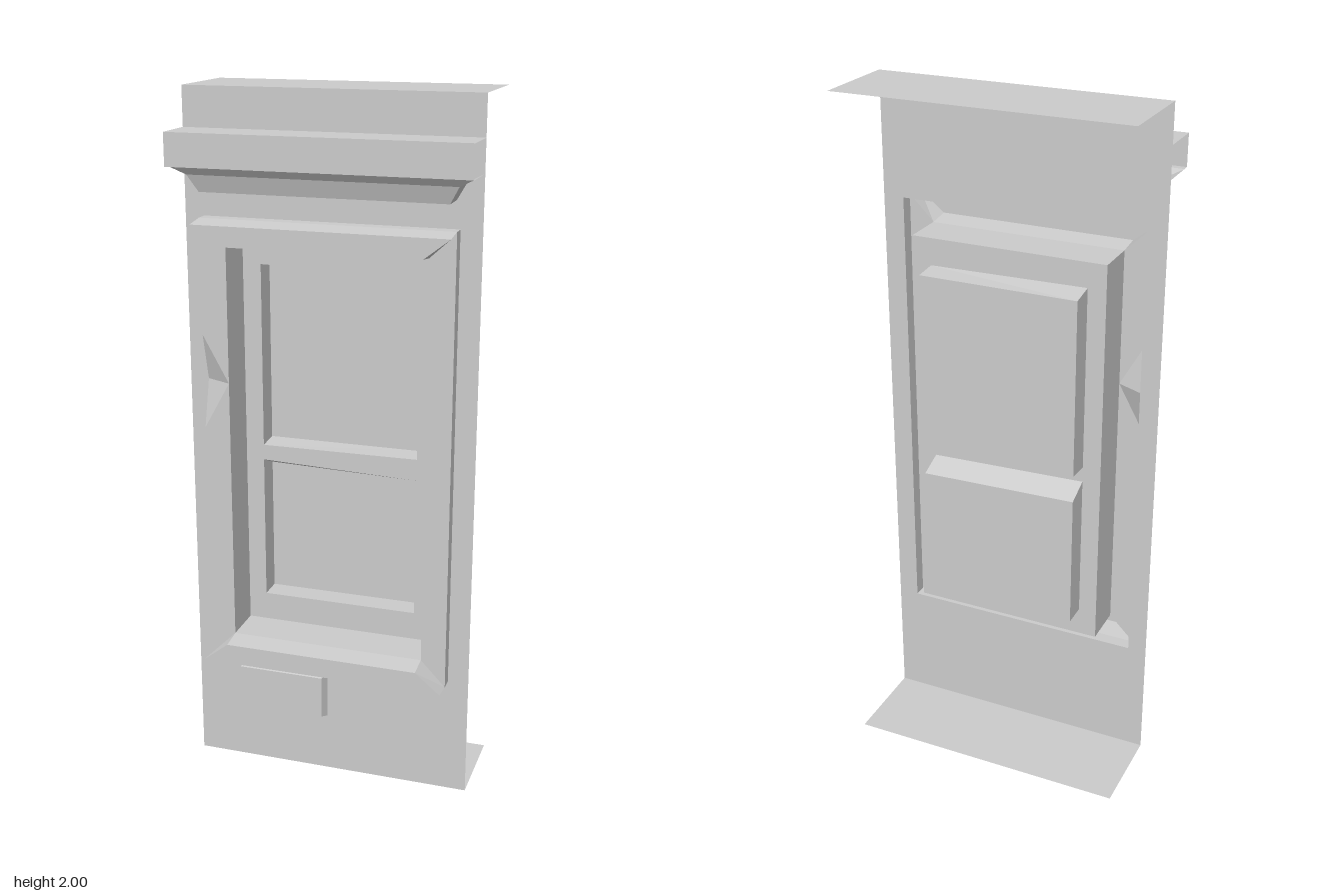
import * as THREE from 'three';

const material = new THREE.MeshStandardMaterial({ color: 0xcccccc, flatShading: true, side: THREE.DoubleSide });
const WALL = 0.067, FRAME = 0.105, RAIL = 0.17, BACK = -0.02, PANE = -0.09;
const W = 0.415;

function mesh(name, geometry) {
  const m = new THREE.Mesh(geometry, material);
  m.name = name;
  return m;
}

// Skin between successive rings of points, optionally capping the last ring
function loft(name, rings, { closed = true, cap = false } = {}) {
  const n = rings[0].length, index = [];
  for (let r = 0; r < rings.length - 1; r++) {
    for (let i = 0; i < (closed ? n : n - 1); i++) {
      const j = (i + 1) % n, a = r * n + i, b = r * n + j;
      index.push(a, b, b + n, a, b + n, a + n);
    }
  }
  const last = (rings.length - 1) * n;
  if (cap) for (let i = 1; i < n - 1; i++) index.push(last, last + i, last + i + 1);
  const indexed = new THREE.BufferGeometry();
  indexed.setAttribute('position', new THREE.Float32BufferAttribute(rings.flat(2), 3));
  indexed.setIndex(index);
  const geometry = indexed.toNonIndexed();
  geometry.computeVertexNormals();
  return mesh(name, geometry);
}

const rect = (x0, y0, x1, y1) => [[x0, y0], [x1, y0], [x1, y1], [x0, y1]];
const at = (points, z) => points.map(([x, y]) => [x, y, z]);

// Flat sheet facing the front, with polygonal holes
function sheet(name, outline, z, holes = []) {
  const toPoints = (pts) => pts.map(([x, y]) => new THREE.Vector2(x, y));
  const shape = new THREE.Shape(toPoints(outline));
  holes.forEach((h) => shape.holes.push(new THREE.Path(toPoints(h))));
  const geometry = new THREE.ShapeGeometry(shape);
  geometry.translate(0, 0, z);
  return mesh(name, geometry);
}

export function createModel() {
  const model = new THREE.Group();
  const L = -0.36, R = 0.355, B = 0.35, T = 1.655;           // frame outside
  const l = -0.285, r = 0.283, b = 0.425, t = 1.583;         // frame inside

  // Wall with its top and bottom returns
  model.add(sheet('wall', rect(-W, 0, W, 2), WALL, [rect(L, B, R, T)]));
  for (const [name, y] of [['bottomReturn', 0], ['topReturn', 2]]) {
    model.add(loft(name, [-W, W].map((x) => [[x, y, -0.2], [x, y, WALL]]), { closed: false }));
  }

  // Cornice: an open-ended ledge over a tapering moulding
  const ledge = [[1.89, WALL], [1.89, 0.195], [1.8, 0.195], [1.8, 0.175]];
  model.add(loft('corniceLedge', [-W, W].map((x) => ledge.map(([y, z]) => [x, y, z])), { closed: false }));
  const steps = [[1.8, W, 0.175], [1.777, 0.37, 0.157], [1.73, 0.343, 0.14]];
  model.add(loft('corniceMoulding', steps.map(([y, x, z]) =>
    [[x, y, WALL], [x, y, z], [-x, y, z], [-x, y, WALL]]), { closed: false, cap: true }));

  // Window frame: outer collar, chipped on one side
  const frame = new THREE.Group();
  frame.name = 'windowFrame';
  const chip = [[L, 1.33], [L, 1.195], [L, 1.06]], chipTip = [l, 1.195];
  const collar = [...rect(L, B, R, T), ...chip];
  const collarFront = at(collar, FRAME);
  collarFront[5][2] = WALL + 0.003;
  frame.add(loft('frameCollar', [at(collar, WALL), collarFront]));

  // Low side stiles and the two facets of the chip
  frame.add(sheet('leftStile', [[r, b], [R, B], [R, T], [r, t]], FRAME));
  frame.add(sheet('rightStileUpper', [[L, T], chip[0], chipTip, [l, t]], FRAME));
  frame.add(sheet('rightStileLower', [[L, B], [l, b], chipTip, chip[2]], FRAME));
  const deep = [L, 1.195, WALL + 0.003], tip = [...chipTip, FRAME];
  frame.add(loft('chipFacets', [[[...chip[2], FRAME], deep, [...chip[0], FRAME]], [tip, tip, tip]], { closed: false }));

  // Raised top and bottom rails with mitred ends
  const inset = 0.008;
  const topRail = [[l, t], [r, t], [R, T], [L, T]];
  const topFront = [[l, t + inset], [r, t + inset], [R, T - inset], [L, T - inset]];
  frame.add(loft('topRail', [at(topRail, FRAME), at(topFront, RAIL)], { cap: true }));
  const bottomRail = [[L, B], [R, B], [r, b], [l, b]];
  const bottomFront = [[L, B + inset], [R, B + inset], [r, b - inset], [l, b - inset]];
  frame.add(loft('bottomRail', [at(bottomRail, FRAME), at(bottomFront, RAIL)], { cap: true }));
  model.add(frame);

  // Recess behind the frame, with two deeper window panes
  const opening = rect(l, b, r, t);
  model.add(loft('windowReveal', [at(opening, FRAME), at(opening, BACK)]));
  const x0 = -0.232, x1 = 0.228;
  const panes = [
    ['upperPane', [[x0, 0.98], [x1, 0.983], [x1, 1.505], [x0, 1.512]], rect(x0, 0.985, x1, 1.5)],
    ['lowerPane', [[x0, 0.508], [x1, 0.508], [x1, 0.92], [x0, 0.935]],
      [[x0, 0.508], [x1, 0.508], [x1, 0.893], [x0, 0.905]]],
  ];
  model.add(sheet('sash', opening, BACK, panes.map((p) => p[1])));
  for (const [name, front, back] of panes) {
    model.add(loft(name, [at(front, BACK), at(back, PANE)], { cap: true }));
  }

  // Small plate below the window
  model.add(loft('plate', [at(rect(-0.282, 0.176, -0.01, 0.317), WALL),
    at(rect(-0.274, 0.184, -0.02, 0.31), 0.093)], { cap: true }));
  return model;
}
